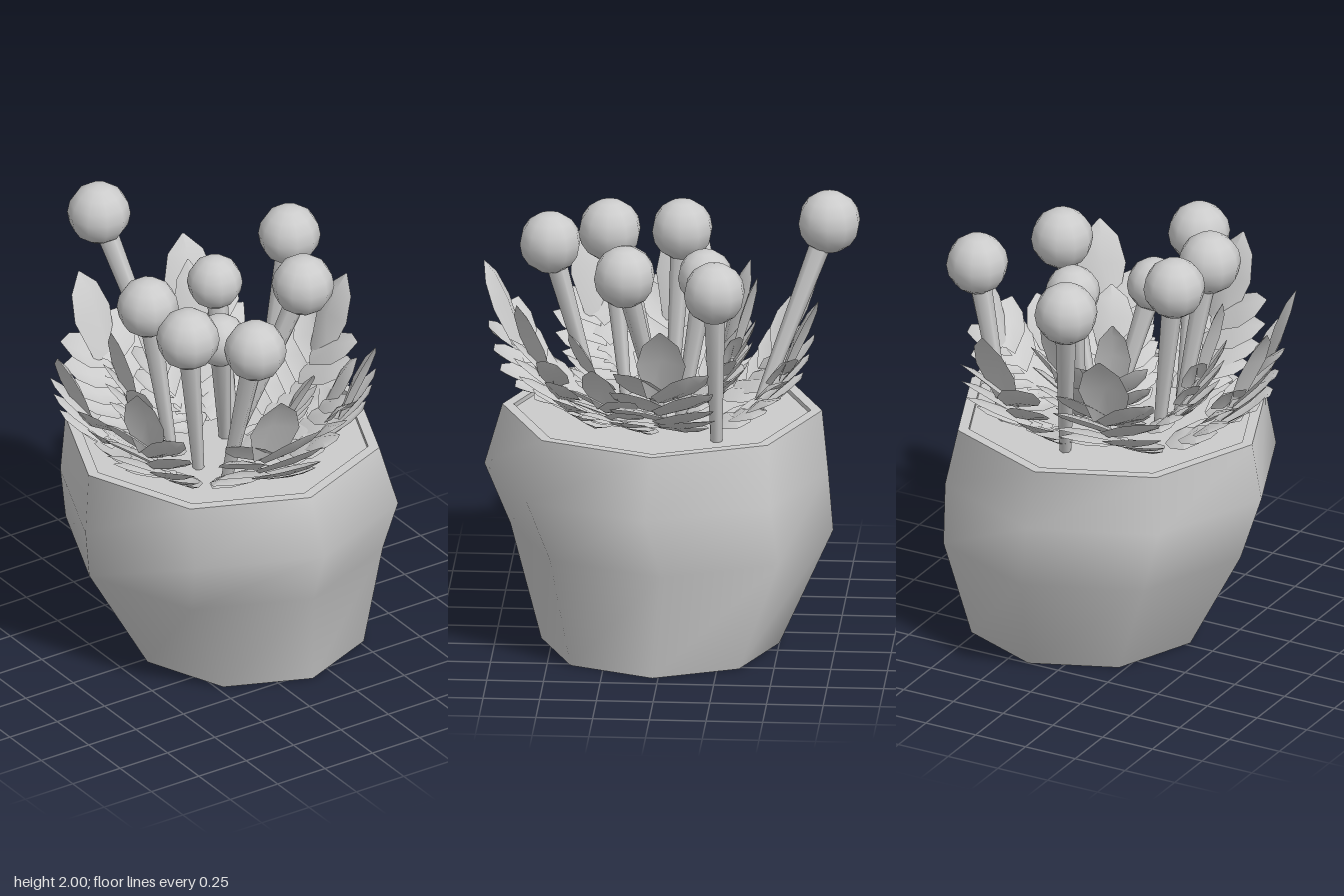
import * as THREE from 'three';

const solid = new THREE.MeshStandardMaterial({ color: 0xcccccc });
const thin = new THREE.MeshStandardMaterial({ color: 0xcccccc, side: THREE.DoubleSide });

function indexed(pos, idx) {
  const g = new THREE.BufferGeometry();
  g.setAttribute('position', new THREE.Float32BufferAttribute(pos, 3));
  g.setIndex(idx);
  g.computeVertexNormals();
  return g;
}

// Eight-sided surface through rings given as [centre x, y, centre z, radius]
function loft(name, rings) {
  const n = 8, pos = [], idx = [];
  for (const [cx, y, cz, r] of rings)
    for (let j = 0; j < n; j++) {
      const a = j / n * Math.PI * 2;
      pos.push(cx + Math.sin(a) * r, y, cz + Math.cos(a) * r);
    }
  for (let i = 0; i < rings.length - 1; i++)
    for (let j = 0; j < n; j++) {
      const a = i * n + j, b = i * n + (j + 1) % n;
      idx.push(a, b, b + n, a, b + n, a + n);
    }
  const mesh = new THREE.Mesh(indexed(pos, idx), solid);
  mesh.name = name;
  return mesh;
}

// Unit leaf: grows along +y, half width 0.5, folded along its midrib
function leafGeometry() {
  const rows = [[0, 0.3], [0.5, 0.5], [0.8, 0.36], [1, 0.02]];
  const pos = [], idx = [];
  for (const [t, w] of rows) pos.push(-w, t, 0, 0, t, -0.3 * w, w, t, 0);
  for (let i = 0; i < rows.length - 1; i++)
    for (let j = 0; j < 2; j++) {
      const a = i * 3 + j;
      idx.push(a, a + 1, a + 4, a, a + 4, a + 3);
    }
  return indexed(pos, idx);
}

const leafShape = leafGeometry();

function leaf(name, from, to, across, width) {
  const base = new THREE.Vector3(...from);
  const along = new THREE.Vector3(...to).sub(base);
  const side = new THREE.Vector3(...across);
  side.addScaledVector(along, -side.dot(along) / along.lengthSq()).normalize();
  const normal = side.clone().cross(along).normalize();
  const m = new THREE.Matrix4().makeBasis(
    side.multiplyScalar(width), along, normal.multiplyScalar(width)).setPosition(base);
  const mesh = new THREE.Mesh(leafShape.clone().applyMatrix4(m), thin);
  mesh.name = name;
  return mesh;
}

// Frond: stacked pairs of side leaves climbing outward to one upright leaf
function frond(x, z, spread, height, turn = 0) {
  const g = new THREE.Group();
  g.name = 'leafFrond';
  // each tier: root y, root z, tip y, tip z, reach sideways, blade tilt
  const tiers = [
    [0.25, -0.18, 0.4, -0.09, 0.22, 0.75],
    [0.17, -0.24, 0.3, -0.12, 0.24, 0.55],
    [0.11, -0.29, 0.21, -0.15, 0.24, 0.4],
    [0.075, -0.36, 0.14, -0.22, 0.24, 0.25],
    [0.05, -0.43, 0.08, -0.3, 0.21, 0.18],
  ];
  for (const [y0, z0, y1, z1, reach, tilt] of tiers)
    for (const s of [-1, 1])
      g.add(leaf('sideLeaf', [-s * 0.02, y0, z0], [s * reach, y1, z1], [0, tilt, 0.8], 0.18));
  g.add(leaf('tipLeaf', [0, 0.26, -0.16], [0, 0.63, 0], [1, 0, 0], 0.23));
  g.position.set(x, 1, z);
  g.rotation.y = Math.atan2(x, z) + turn;
  g.scale.set(spread, height, spread);
  return g;
}

// Round bud on a slim stem leaning out from its foot
function bud(x, y, z, r, footX, footZ) {
  const g = new THREE.Group();
  g.name = 'budOnStem';
  const ball = new THREE.Mesh(new THREE.SphereGeometry(r, 10, 8), solid);
  ball.name = 'bud';
  ball.position.set(x, y, z);
  const foot = new THREE.Vector3(footX, 1, footZ);
  const dir = ball.position.clone().sub(foot);
  const stem = new THREE.Mesh(new THREE.CylinderGeometry(0.05, 0.025, dir.length(), 6, 1, true), solid);
  stem.name = 'stem';
  stem.position.copy(foot).addScaledVector(dir, 0.5);
  stem.quaternion.setFromUnitVectors(new THREE.Vector3(0, 1, 0), dir.normalize());
  g.add(ball, stem);
  return g;
}

export function createModel() {
  const model = new THREE.Group();
  model.name = 'pottedPlant';

  // Pot, slightly crooked
  const foot = [0.15, 0, 0.025, 0.525], lip = [0.02, 1.04, 0.025, 0.705];
  const inner = [0.02, 1.04, 0.025, 0.655], soil = [0.02, 1.02, 0.025, 0.655];
  model.add(
    loft('potBase', [[0.15, 0, 0.025, 0], foot]),
    loft('potWall', [foot, [0.06, 0.5, -0.02, 0.712], [0.04, 0.77, 0.05, 0.758], lip]),
    loft('potRim', [lip, inner]),
    loft('potInside', [inner, soil]),
    loft('soil', [soil, [0.02, 1.02, 0.025, 0]]));

  // Fronds: outer ring, then the smaller inner ones
  const fronds = [
    [-0.8, -0.05, 1, 1], [-0.69, 0.42, 0.85, 1], [-0.2, 0.825, 1, 1], [0.42, 0.64, 0.95, 1],
    [0.7, -0.01, 0.95, 0.97], [0.28, -0.68, 1, 1, 0.14], [-0.29, -0.65, 1, 1, -0.16],
    [-0.55, 0, 0.75, 1.12], [-0.19, -0.35, 0.7, 1.05], [0.12, -0.4, 0.7, 1.08],
    [0.24, 0.42, 0.85, 0.7], [0.55, 0.3, 0.8, 0.6],
  ];
  for (const f of fronds) model.add(frond(...f));

  // Buds
  const buds = [
    [-0.15, 1.86, -0.7, 0.14, 0.03, -0.38], [0.55, 1.75, -0.24, 0.138, 0.41, -0.24],
    [0.11, 1.68, -0.17, 0.123, 0.13, -0.06], [-0.33, 1.75, -0.04, 0.137, -0.23, 0],
    [-0.33, 1.74, 0.28, 0.14, -0.22, 0.2], [-0.1, 1.62, 0.19, 0.12, 0.03, 0.03],
    [0.35, 1.75, 0.17, 0.138, 0.1, 0.02], [-0.14, 1.74, 0.53, 0.138, -0.16, 0.33],
  ];
  for (const b of buds) model.add(bud(...b));

  return model;
}
